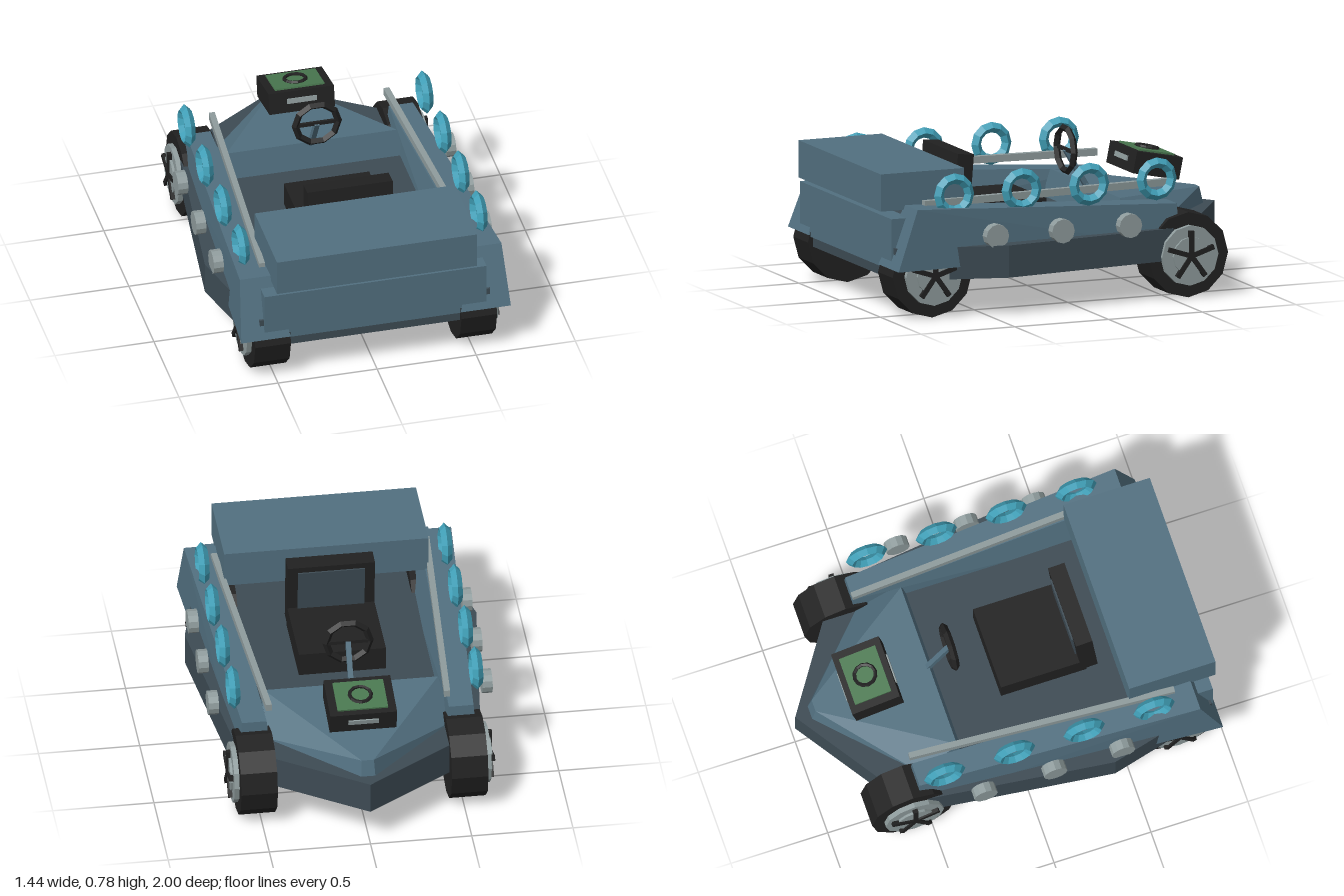
import * as THREE from 'three';
import { ConvexGeometry } from 'three/addons/geometries/ConvexGeometry.js';

const mat = (name, color) => {
  const m = new THREE.MeshStandardMaterial({ color, flatShading: true });
  m.name = name;
  return m;
};

export function createModel() {
  const model = new THREE.Group();
  const steel = mat('steelBlue', 0x527080);
  const slate = mat('darkSlate', 0x3d4b54);
  const black = mat('black', 0x212121);
  const grey = mat('paleGrey', 0x8f9c9d);
  const teal = mat('teal', 0x41a0b8);
  const green = mat('green', 0x4a7850);

  const add = (name, geometry, material, x = 0, y = 0, z = 0, parent = model) => {
    const mesh = new THREE.Mesh(geometry, material);
    mesh.name = name;
    mesh.position.set(x, y, z);
    parent.add(mesh);
    return mesh;
  };
  const box = (w, h, d) => new THREE.BoxGeometry(w, h, d);
  // solid from corner points, optionally mirrored in x
  const solid = (points, side = 1) =>
    new ConvexGeometry(points.map(([x, y, z]) => new THREE.Vector3(x * side, y, z)));
  const both = (points) => points.flatMap(([x, y, z]) => [[x, y, z], [-x, y, z]]);
  // cylinder lying along x
  const disc = (r, length) =>
    new THREE.CylinderGeometry(r, r, length, 12).rotateZ(Math.PI / 2);
  // bar between two points
  const bar = (name, a, b, w, h, material) => {
    const p = new THREE.Vector3(...a), q = new THREE.Vector3(...b);
    const m = add(name, box(w, h, p.distanceTo(q)), material);
    m.position.copy(p).add(q).multiplyScalar(0.5);
    m.lookAt(q);
  };

  // boat-shaped lower hull
  const plan = [[0.6, -0.6], [0.72, 0.41], [0.58, 0.955]];
  const hull = [0.19, 0.35].flatMap((y) => [[0, y, -1], ...both(plan.map(([x, z]) => [x, y, z]))]);
  add('hull', solid(hull), slate);

  // wedge-shaped foredeck
  add('foredeck', solid(both([
    [0.035, 0.345, -0.925], [0.03, 0.432, -0.905],
    [0.48, 0.345, -0.5], [0.46, 0.345, -0.28], [0.43, 0.485, -0.31],
  ])), steel);

  // tail plate and raised stowage box
  add('tailPlate', box(1.12, 0.255, 0.1), steel, 0, 0.367, 0.917);
  add('stowageBox', box(1.01, 0.185, 0.445), steel, 0, 0.618, 0.777);

  for (const s of [1, -1]) {
    // side wall with a sloping rear end
    add('sideWall', solid([
      [0.43, 0.25, 0.98], [0.68, 0.25, 0.98], [0.5, 0.55, 0.87], [0.66, 0.55, 0.87],
      [0.43, 0.25, -0.56], [0.59, 0.25, -0.56], [0.45, 0.465, -0.55], [0.572, 0.465, -0.55],
    ], s), steel);
    bar('handRail', [s * 0.44, 0.55, -0.56], [s * 0.525, 0.55, 0.78], 0.03, 0.035, grey);

    // side canisters
    for (const z of [0.46, 0.11, -0.25])
      add('sideCanister', disc(0.06, 0.05), grey, s * 0.676, 0.395, z);

    // rings along the rail, diamond in section
    for (const z of [0.65, 0.29, -0.07, -0.43])
      add('sideRing', new THREE.TorusGeometry(0.081, 0.026, 4, 12).rotateY(Math.PI / 2),
        teal, s * 0.6, 0.6, z);

    // wheels
    for (const z of [-0.595, 0.77]) {
      const wheel = new THREE.Group();
      wheel.name = 'wheel';
      wheel.position.set(s * 0.52, 0.212, z);
      model.add(wheel);
      add('tire', disc(0.212, 0.18), black, 0, 0, 0, wheel);
      add('rim', disc(0.15, 0.03), grey, s * 0.1, 0, 0, wheel);
      add('hubDisc', disc(0.095, 0.02), grey, s * 0.117, 0, 0, wheel);
      for (let i = 0; i < 5; i++) {
        const spoke = box(0.02, 0.125, 0.024).translate(0, 0.0625, 0);
        spoke.rotateX((i * Math.PI * 2) / 5);
        add('spoke', spoke, black, s * 0.126, 0, 0, wheel);
      }
    }
  }

  // seat with tilted back
  add('seatCushion', box(0.43, 0.12, 0.44), black, 0, 0.41, 0.21);
  const back = new THREE.Group();
  back.name = 'seatBack';
  back.position.set(0, 0.545, 0.433);
  back.rotation.x = -0.08;
  model.add(back);
  add('backRest', box(0.43, 0.35, 0.085), black, 0, 0, 0, back);
  add('backPad', box(0.33, 0.23, 0.009), slate, 0, 0.03, -0.046, back);

  // steering wheel and column
  add('steeringWheel', new THREE.TorusGeometry(0.109, 0.018, 4, 10), black, 0, 0.662, -0.205);
  add('steeringSpoke', box(0.2, 0.018, 0.014), black, 0, 0.662, -0.207);
  bar('steeringColumn', [0, 0.662, -0.205], [0, 0.45, -0.33], 0.025, 0.025, steel);

  // equipment case on the foredeck
  const kit = new THREE.Group();
  kit.name = 'equipmentCase';
  kit.position.set(0, 0.578, -0.627);
  kit.rotation.x = -0.2;
  model.add(kit);
  add('caseBody', box(0.33, 0.11, 0.25), black, 0, 0, 0, kit);
  add('casePanel', box(0.25, 0.009, 0.19), green, 0, 0.059, 0, kit);
  add('caseDial', new THREE.TorusGeometry(0.053, 0.01, 5, 12).rotateX(Math.PI / 2),
    black, 0, 0.066, 0, kit);
  for (const s of [1, -1])
    add('caseGrip', box(0.15, 0.025, 0.008), grey, 0, 0.005, s * 0.128, kit);

  return model;
}
